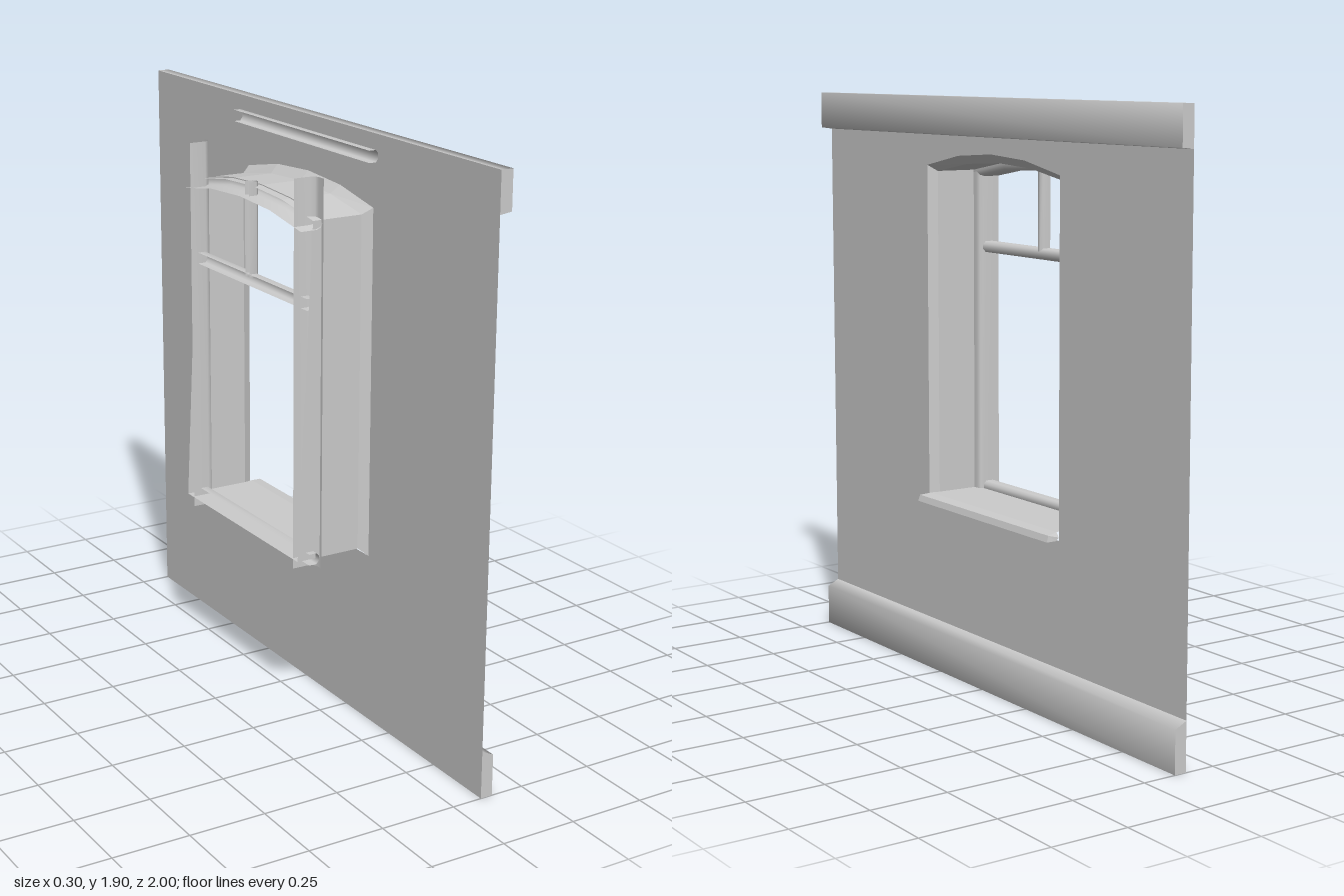
import * as THREE from 'three';

const smooth = new THREE.MeshStandardMaterial({ color: 0xcccccc, side: THREE.DoubleSide });
const flat = new THREE.MeshStandardMaterial({ color: 0xcccccc, side: THREE.DoubleSide, flatShading: true });

// Sheet through rows of [x, y, z] points
function loft(name, rows, material = smooth) {
  const n = rows[0].length, index = [];
  for (let i = 0; i < rows.length - 1; i++) {
    for (let j = 0; j < n - 1; j++) {
      const a = i * n + j, b = a + n;
      index.push(a, b, a + 1, a + 1, b, b + 1);
    }
  }
  const g = new THREE.BufferGeometry();
  g.setAttribute('position', new THREE.Float32BufferAttribute(rows.flat(2), 3));
  g.setIndex(index);
  g.computeVertexNormals();
  const mesh = new THREE.Mesh(g, material);
  mesh.name = name;
  return mesh;
}

// Profile of [x, y] points run along z
const alongZ = (name, profile, z0, z1, material) =>
  loft(name, [z0, z1].map(z => profile.map(([x, y]) => [x, y, z])), material);

// Profile of [x, z] points run up y
const alongY = (name, profile, y0, y1) =>
  loft(name, [y0, y1].map(y => profile.map(([x, z]) => [x, y, z])));

// Rounded channel, open at the back; u is the side axis
const channel = (x, u, w, d = 0.035) => [
  [x, u - w], [x + d * 0.75, u - w], [x + d, u - w * 0.45],
  [x + d, u + w * 0.45], [x + d * 0.75, u + w], [x, u + w]];

// Points [z, y] of the shallow arch
const arch = (w, side, mid) => [
  [-w, side], [-w * 0.5, side + (mid - side) * 0.76], [0, mid],
  [w * 0.5, side + (mid - side) * 0.76], [w, side]];

export function createModel() {
  const model = new THREE.Group();
  const WALL = 0.10;
  const outer = arch(0.372, 1.675, 1.723), inner = arch(0.355, 1.655, 1.695);

  // Wall sheet with arched opening
  const shape = new THREE.Shape();
  shape.moveTo(-1, 0).lineTo(1, 0).lineTo(1, 1.9).lineTo(-1, 1.9).closePath();
  const hole = new THREE.Path();
  hole.moveTo(0.372, 0.56).lineTo(-0.372, 0.56);
  outer.forEach(([z, y]) => hole.lineTo(z, y));
  hole.closePath();
  shape.holes.push(hole);
  const wall = new THREE.Mesh(new THREE.ShapeGeometry(shape), smooth);
  wall.name = 'wall';
  wall.rotation.y = Math.PI / 2;
  wall.position.x = WALL;
  model.add(wall);

  // Base and top mouldings with closed ends
  const mouldings = {
    baseMoulding: [[0.10, 0], [0.14, 0], [0.14, 0.135], [0.10, 0.155]],
    topMoulding: [[0.10, 1.775], [0.14, 1.78], [0.14, 1.9], [0.10, 1.9]],
  };
  for (const [name, profile] of Object.entries(mouldings)) {
    const group = new THREE.Group();
    group.name = name;
    group.add(alongZ(name + 'Face', profile, 1, -1));
    const end = new THREE.ShapeGeometry(new THREE.Shape(profile.map(p => new THREE.Vector2(...p))));
    for (const z of [-1, 1]) {
      const cap = new THREE.Mesh(end, flat);
      cap.name = name + 'End';
      cap.position.z = z;
      group.add(cap);
    }
    model.add(group);
  }

  // Window reveal: splayed edge, then a lining that leans at the back
  model.add(loft('revealHead', [
    outer.map(([z, y]) => [WALL, y, z]),
    inner.map(([z, y]) => [0.07, y, z]),
    inner.map(([z, y]) => [-0.10, y, z])], flat));
  for (const s of [-1, 1]) {
    model.add(loft(s > 0 ? 'revealJambFront' : 'revealJambBack', [
      [[WALL, 0.56, s * 0.372], [WALL, 1.675, s * 0.372]],
      [[0.07, 0.585, s * 0.355], [0.07, 1.655, s * 0.355]],
      [[-0.15, 0.585, s * 0.355], [-0.10, 1.655, s * 0.355]]], flat));
  }

  // Sill board with projecting nose, wider towards the front
  const sill = [
    [-0.15, 0.585, 0.355], [0.07, 0.585, 0.355], [0.10, 0.585, 0.36],
    [0.138, 0.58, 0.37], [0.145, 0.56, 0.372], [0.11, 0.56, 0.372], [0.10, 0.57, 0.372]];
  model.add(loft('sill', [1, -1].map(s => sill.map(([x, y, z]) => [x, y, s * z])), flat));
  for (const s of [-1, 1]) {
    const nose = sill.slice(2).map(([x, y, z]) => [x, y, s * z]);
    model.add(loft('sillEnd', [[nose[0], nose[1], nose[2]], [nose[4], nose[3], nose[3]]], flat));
  }

  // Frame stiles, open at the back
  for (const s of [-1, 1]) {
    model.add(alongY('frameStile',
      [[-0.145, s * 0.32], [-0.09, s * 0.32], [-0.075, s * 0.326], [-0.07, s * 0.338], [-0.07, s * 0.365]],
      0.55, 1.78));
  }

  // Arched frame head
  const head = arch(0.36, 1.628, 1.668);
  model.add(loft('frameHead',
    [[-0.145, 0], [-0.09, 0], [-0.075, 0.006], [-0.07, 0.018], [-0.07, 0.03]]
      .map(([x, dy]) => head.map(([z, y]) => [x, y + dy, z]))));

  // Glazing bars
  model.add(alongZ('bottomRail', channel(-0.12, 0.592, 0.018), -0.41, 0.375));
  model.add(alongZ('transom', channel(-0.12, 1.402, 0.018), -0.34, 0.355));
  model.add(alongY('mullion', channel(-0.12, 0, 0.013), 1.41, 1.71));

  // Rail behind the wall above the window
  model.add(alongZ('upperRail', channel(0, 1.86, 0.018, 0.03), -0.29, 0.5));

  return model;
}
